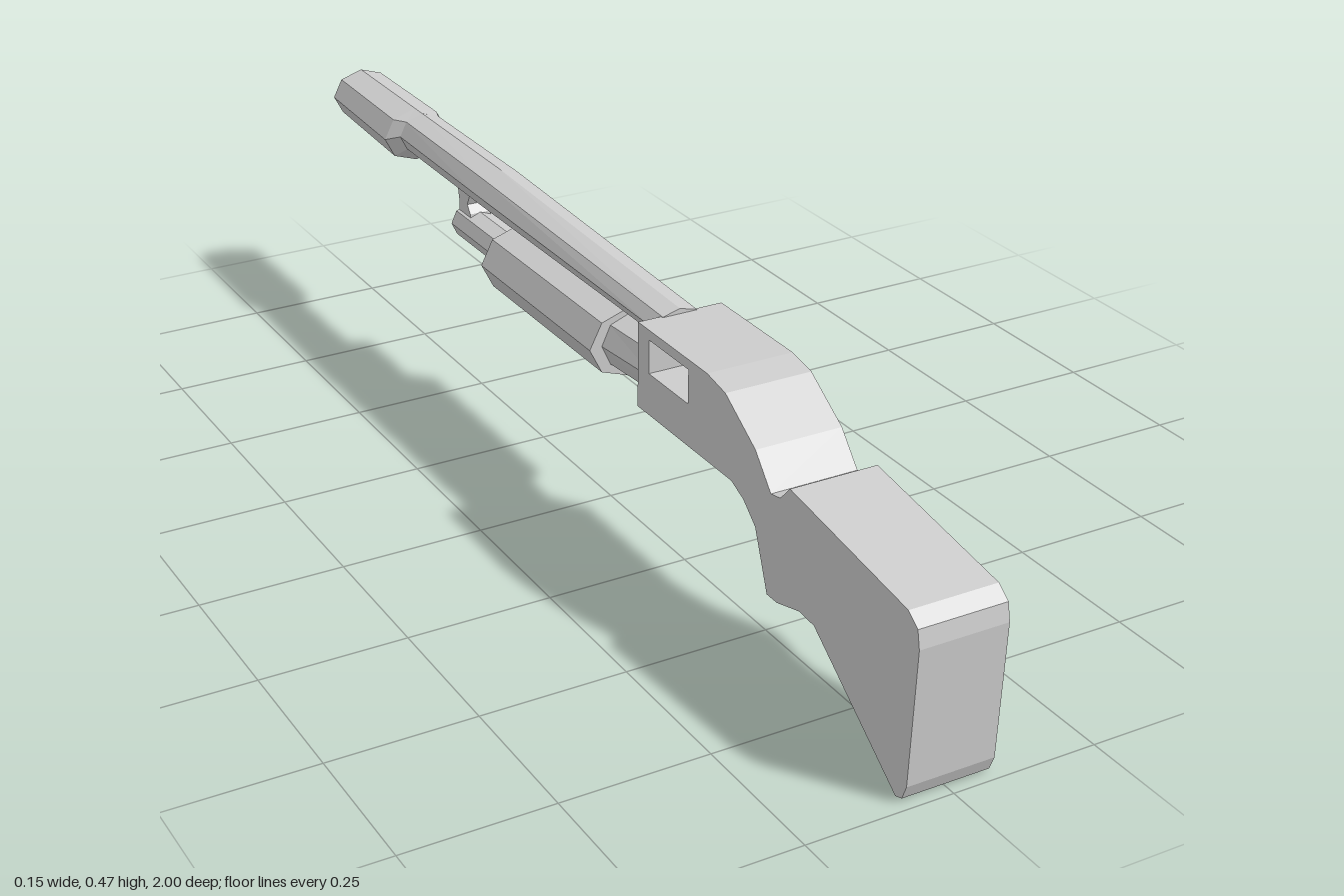
import * as THREE from 'three';

const material = new THREE.MeshStandardMaterial({ color: 0xcccccc, flatShading: true });
const SIDES = 8;

// Eight-sided loft along -z from sections [z, centreX, centreY, radiusX, radiusY]
function loft(name, sections) {
  const positions = [];
  const point = ([z, cx, cy, rx, ry], i) => {
    const a = (i / SIDES) * Math.PI * 2;
    return [cx + rx * Math.cos(a), cy + ry * Math.sin(a), z];
  };
  const first = sections[0], last = sections[sections.length - 1];
  for (let i = 0; i < SIDES; i++) {
    for (let s = 0; s < sections.length - 1; s++) {
      const a = point(sections[s], i), b = point(sections[s], i + 1);
      const c = point(sections[s + 1], i), d = point(sections[s + 1], i + 1);
      positions.push(...a, ...c, ...b, ...b, ...c, ...d);
    }
    // end caps
    positions.push(first[1], first[2], first[0], ...point(first, i), ...point(first, i + 1));
    positions.push(last[1], last[2], last[0], ...point(last, i + 1), ...point(last, i));
  }
  const geometry = new THREE.BufferGeometry();
  geometry.setAttribute('position', new THREE.Float32BufferAttribute(positions, 3));
  geometry.computeVertexNormals();
  const mesh = new THREE.Mesh(geometry, material);
  mesh.name = name;
  return mesh;
}

// Side profile of [z, y] points, extruded across x
function slab(name, profile, width, holes = []) {
  const toVectors = (list) => list.map(([z, y]) => new THREE.Vector2(z, y));
  const shape = new THREE.Shape(toVectors(profile));
  holes.forEach((h) => shape.holes.push(new THREE.Path(toVectors(h))));
  const geometry = new THREE.ExtrudeGeometry(shape, { depth: width, bevelEnabled: false });
  geometry.rotateY(-Math.PI / 2).translate(width / 2, 0, 0);
  const mesh = new THREE.Mesh(geometry, material);
  mesh.name = name;
  return mesh;
}

export function createModel() {
  const group = new THREE.Group();
  group.name = 'pumpShotgun';

  // Butt, grip and receiver in one slab, with an open port
  group.add(slab('stockAndReceiver', [
    [0.225, 0.29], [0.51, 0.29], [0.545, 0.275], [0.58, 0.245], [0.617, 0.148], [0.645, 0.148],
    [0.705, 0.165], [0.745, 0.162], [0.965, 0.0], [0.98, 0.005], [0.99, 0.03],
    [1.0, 0.26], [0.994, 0.29], [0.97, 0.308], [0.67, 0.352], [0.645, 0.325], [0.62, 0.32],
    [0.575, 0.372], [0.488, 0.427], [0.435, 0.437], [0.225, 0.437],
  ], 0.152, [[[0.26, 0.362], [0.26, 0.42], [0.38, 0.42], [0.38, 0.362]]]));

  // Barrel
  group.add(loft('barrel', [
    [0.23, -0.003, 0.418, 0.044, 0.028],
    [-0.4, -0.003, 0.427, 0.049, 0.038],
    [-0.73, -0.003, 0.428, 0.046, 0.038],
  ]));

  // Thicker muzzle sleeve with a recessed bore
  group.add(loft('muzzle', [
    [-0.72, -0.003, 0.428, 0.046, 0.038],
    [-0.75, -0.004, 0.416, 0.063, 0.051],
    [-1, -0.003, 0.42, 0.059, 0.047],
    [-1, -0.003, 0.42, 0.023, 0.019],
    [-0.9, -0.003, 0.42, 0.023, 0.019],
  ]));

  // Magazine tube: rear collar and slim front length
  group.add(loft('tubeCollar', [
    [0.23, 0, 0.329, 0.045, 0.048],
    [0.06, 0, 0.324, 0.055, 0.05],
  ]));
  group.add(loft('magazineTube', [
    [0.05, 0, 0.319, 0.036, 0.032],
    [-0.535, 0, 0.319, 0.036, 0.032],
  ]));

  // Sliding pump grip
  group.add(loft('pumpGrip', [
    [0.068, 0, 0.322, 0.077, 0.063],
    [-0.33, 0, 0.322, 0.077, 0.063],
    [-0.37, 0, 0.319, 0.043, 0.036],
  ]));

  // Waisted bracket between tube and barrel
  group.add(slab('barrelBracket', [
    [-0.535, 0.33], [-0.485, 0.33], [-0.488, 0.35], [-0.5, 0.365], [-0.49, 0.385], [-0.47, 0.4],
    [-0.55, 0.4], [-0.537, 0.385], [-0.533, 0.365],
  ], 0.04));

  return group;
}
